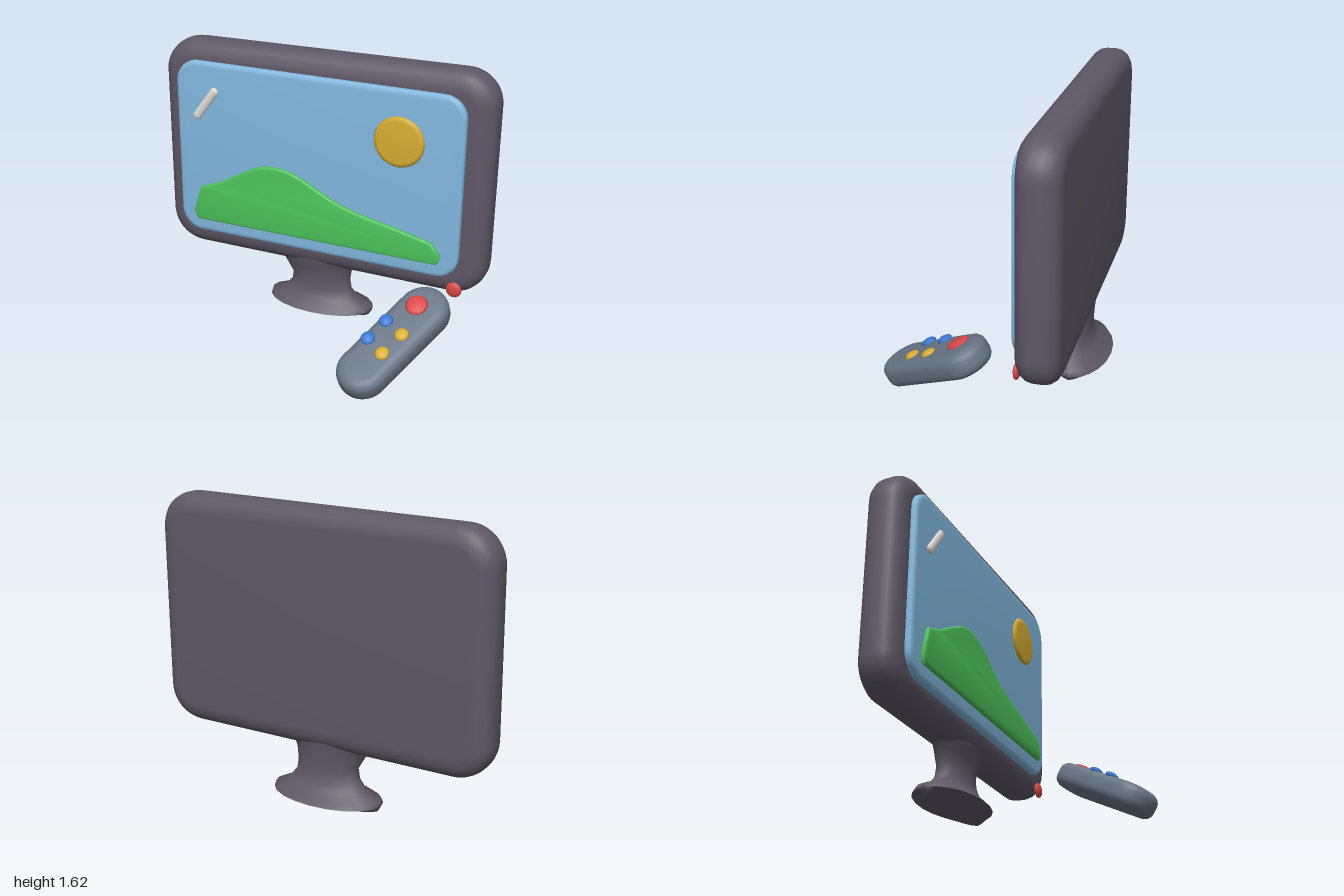
import * as THREE from 'three';
import { mergeVertices, toCreasedNormals } from 'three/addons/utils/BufferGeometryUtils.js';

const mat = (name, color) => {
  const m = new THREE.MeshStandardMaterial({ color });
  m.name = name;
  return m;
};

function roundedRect(x0, x1, y0, y1, r) {
  const s = new THREE.Shape();
  s.absarc(x1 - r, y0 + r, r, -Math.PI / 2, 0);
  s.absarc(x1 - r, y1 - r, r, 0, Math.PI / 2);
  s.absarc(x0 + r, y1 - r, r, Math.PI / 2, Math.PI);
  s.absarc(x0 + r, y0 + r, r, Math.PI, Math.PI * 1.5);
  s.closePath();
  return s;
}

// Pillow-edged plate between z0 and z1, keeping the outline as its widest extent
function slab(shape, z0, z1, size, thick, curveSegments = 5, bevelSegments = 4) {
  const g = new THREE.ExtrudeGeometry(shape, {
    depth: z1 - z0 - 2 * thick, bevelEnabled: true, bevelSize: size, bevelOffset: -size,
    bevelThickness: thick, bevelSegments, curveSegments,
  });
  g.translate(0, 0, z0 + thick);
  g.deleteAttribute('uv');
  g.deleteAttribute('normal');
  return toCreasedNormals(mergeVertices(g, 1e-4), 1);
}

// Stack of ellipses, each row [y, centreX, radiusX, centreZ, radiusZ]
function loft(rows, sides) {
  const pos = [], idx = [];
  rows.forEach(([y, cx, rx, cz, rz], i) => {
    for (let j = 0; j < sides; j++) {
      const t = (j / sides) * Math.PI * 2;
      pos.push(cx + rx * Math.cos(t), y, cz + rz * Math.sin(t));
      if (i === rows.length - 1) continue;
      const a = i * sides + j, b = i * sides + ((j + 1) % sides);
      idx.push(a, a + sides, b, b, a + sides, b + sides);
    }
  });
  const g = new THREE.BufferGeometry();
  g.setAttribute('position', new THREE.Float32BufferAttribute(pos, 3));
  g.setIndex(idx);
  return toCreasedNormals(g, 1);
}

export function createModel() {
  const root = new THREE.Group();
  root.name = 'computerMonitor';
  const casing = mat('casing', 0x5e5866);
  const sky = mat('sky', 0x82b8de);
  const green = mat('green', 0x4cc25a);
  const yellow = mat('yellow', 0xd9ae33);
  const red = mat('red', 0xd94848);
  const blue = mat('blue', 0x3a78d4);
  const slate = mat('slate', 0x697585);
  const white = mat('white', 0xdedbd5);

  const add = (name, geo, material, parent = root) => {
    const m = new THREE.Mesh(geo, material);
    m.name = name;
    parent.add(m);
    return m;
  };

  // Casing, with its top edge rising slightly to one side
  const shell = slab(roundedRect(-1, 1, 0.315, 1.613, 0.2), -0.482, -0.25, 0.1, 0.09);
  const p = shell.attributes.position;
  for (let i = 0; i < p.count; i++) {
    if (p.getY(i) > 1) p.setY(i, p.getY(i) + 0.01 * p.getX(i));
  }
  add('casing', shell, casing);

  // Neck flaring into the oval foot
  add('stand', loft([
    [0.004, -0.03, 0, -0.385, 0],
    [0.004, -0.03, 0.31, -0.385, 0.08],
    [0.035, -0.03, 0.33, -0.388, 0.182],
    [0.06, -0.03, 0.325, -0.388, 0.155],
    [0.1, -0.025, 0.235, -0.38, 0.105],
    [0.15, -0.025, 0.195, -0.375, 0.085],
    [0.21, -0.025, 0.185, -0.375, 0.08],
    [0.28, -0.04, 0.21, -0.37, 0.085],
    [0.33, -0.045, 0.235, -0.365, 0.095],
    [0.37, -0.045, 0.28, -0.365, 0.1],
  ], 20), casing);

  // Screen
  add('screen', slab(roundedRect(-0.888, 0.856, 0.435, 1.5, 0.13), -0.27, -0.214, 0.025, 0.016, 4, 3), sky);

  // Landscape picture: hill, sun and glint
  const hill = new THREE.Shape();
  hill.moveTo(-0.765, 0.52);
  hill.lineTo(0.74, 0.52);
  hill.lineTo(0.762, 0.572);
  hill.lineTo(0.705, 0.645);
  hill.splineThru([
    [0.5, 0.692], [0.25, 0.745], [0.1, 0.798], [-0.05, 0.875], [-0.15, 0.917], [-0.25, 0.932],
    [-0.36, 0.915], [-0.5, 0.845], [-0.61, 0.782], [-0.74, 0.73],
  ].map(([x, y]) => new THREE.Vector2(x, y)));
  hill.lineTo(-0.79, 0.57);
  hill.closePath();
  add('hill', slab(hill, -0.22, -0.19, 0.012, 0.008, 5, 2), green);

  const disc = [[0, -0.017], [0.12, -0.015], [0.137, -0.009], [0.146, 0], [0.137, 0.009], [0.12, 0.015], [0, 0.017]];
  const sun = add('sun', new THREE.LatheGeometry(disc.map(([x, y]) => new THREE.Vector2(x, y)), 32), yellow);
  sun.rotation.x = Math.PI / 2;
  sun.position.set(0.495, 1.21, -0.202);

  const glint = add('glint', new THREE.CapsuleGeometry(0.026, 0.19, 6, 12), white);
  glint.scale.z = 0.6;
  glint.rotation.z = -0.64;
  glint.position.set(-0.692, 1.258, -0.204);

  // Power light low on the casing
  const light = add('powerLight', new THREE.SphereGeometry(0.046, 10, 8), red);
  light.scale.z = 0.42;
  light.position.set(0.838, 0.365, -0.242);

  // Tilted remote control: local z is the button side
  const remote = new THREE.Group();
  remote.name = 'remoteControl';
  remote.position.set(0.665, 0.25, 0.245);
  remote.rotation.x = -Math.PI / 2 + 0.52;
  root.add(remote);
  const body = slab(roundedRect(-0.14, 0.14, -0.38, 0.38, 0.139), -0.072, 0.072, 0.055, 0.05, 5, 4);
  add('remoteBody', body, slate, remote).rotation.z = -0.43;

  [
    ['powerButton', 0.07, 0.21, 0.062, red],
    ['upperBlueButton', -0.06, 0.077, 0.04, blue],
    ['lowerBlueButton', -0.12, -0.05, 0.04, blue],
    ['upperYellowButton', 0.05, 0.014, 0.04, yellow],
    ['lowerYellowButton', -0.015, -0.119, 0.04, yellow],
  ].forEach(([name, x, y, r, material]) => {
    const b = add(name, new THREE.SphereGeometry(r, 10, 8), material, remote);
    b.scale.z = 0.02 / r;
    b.position.set(x, y, 0.072);
  });

  return root;
}
